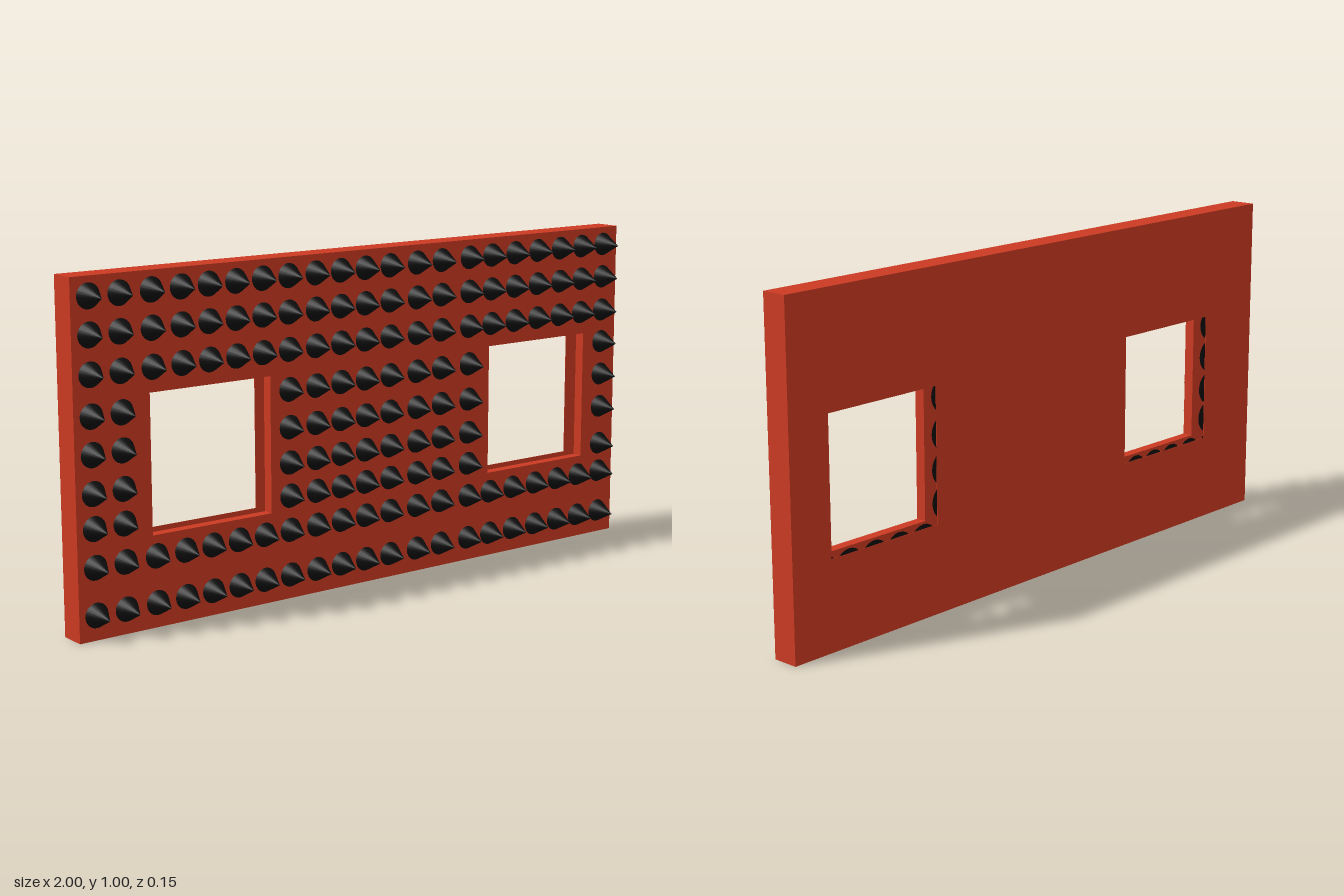
import * as THREE from 'three';

const red = new THREE.MeshStandardMaterial({ color: 0xcb3a22, side: THREE.DoubleSide });
red.name = 'red panel';
const black = new THREE.MeshStandardMaterial({ color: 0x0d0d0d });
black.name = 'black spike';

const FRONT = 0.005, MID = -0.027, BACK = -0.075;

// Rectangle outline, as a Shape or a Path
function rect(Type, x0, y0, x1, y1) {
  return new Type([[x0, y0], [x1, y0], [x1, y1], [x0, y1]].map(([x, y]) => new THREE.Vector2(x, y)));
}

// Panel face with its two square windows
function panelShape() {
  const shape = rect(THREE.Shape, -1, 0, 1, 1);
  for (const x of [-0.762, 0.462]) shape.holes.push(rect(THREE.Path, x, 0.265, x + 0.4, 0.665));
  return shape;
}

function add(group, name, geometry, material, z) {
  const mesh = new THREE.Mesh(geometry, material);
  mesh.name = name;
  mesh.position.z = z;
  group.add(mesh);
  return mesh;
}

export function createModel() {
  const model = new THREE.Group();
  model.name = 'spikedPanel';

  // Front slab, hollow rim behind it and thin back sheet
  const slab = new THREE.ExtrudeGeometry(panelShape(), { depth: FRONT - MID, bevelEnabled: false });
  add(model, 'frontSlab', slab, red, MID);
  const rimShape = rect(THREE.Shape, -1, 0, 1, 1);
  rimShape.holes.push(rect(THREE.Path, -0.995, 0.005, 0.995, 0.995));
  const rim = new THREE.ExtrudeGeometry(rimShape, { depth: MID - BACK, bevelEnabled: false });
  add(model, 'rim', rim, red, BACK);
  const sheet = new THREE.ExtrudeGeometry(panelShape(), { depth: 0.001, bevelEnabled: false });
  add(model, 'backSheet', sheet, red, BACK);

  // Spikes pass through the slab, their bases just showing behind it
  const base = MID - 0.001, tip = 0.075;
  const cone = new THREE.ConeGeometry(0.053, tip - base, 24);
  cone.rotateX(Math.PI / 2);
  const spikes = new THREE.Group();
  spikes.name = 'spikes';
  model.add(spikes);

  const columns = [-0.945, -0.85, -0.75, -0.655, -0.565, -0.475, -0.385, -0.295, -0.2, -0.11, -0.02,
    0.072, 0.175, 0.27, 0.38, 0.47, 0.565, 0.66, 0.755, 0.847, 0.94];
  const fullRows = [0.946, 0.842, 0.735, 0.205, 0.071];
  const sideRows = {
    left: [0.622, 0.517, 0.41, 0.313],
    middle: [0.619, 0.509, 0.405, 0.307],
    right: [0.632, 0.526, 0.419, 0.297],
  };
  for (const x of columns) {
    // Rows beside the windows exist only on the left, middle and right posts
    let rows = [];
    if (x < -0.8) rows = sideRows.left;
    else if (x > -0.3 && x < 0.4) rows = sideRows.middle;
    else if (x > 0.9) rows = sideRows.right;
    for (const y of [...fullRows, ...rows]) {
      const spike = add(spikes, 'spike', cone, black, (base + tip) / 2);
      spike.position.x = x;
      spike.position.y = y;
    }
  }
  return model;
}
